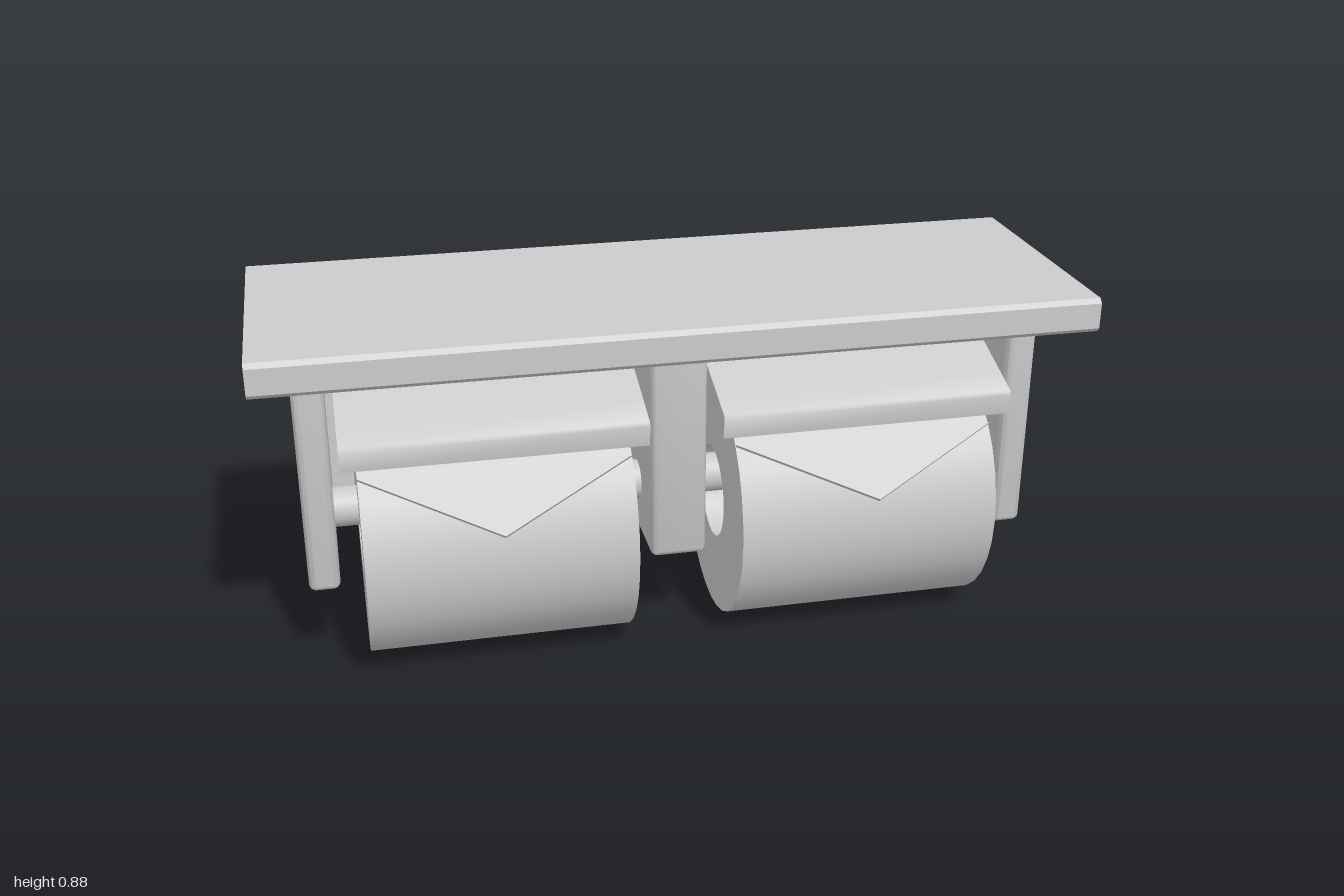
import * as THREE from 'three';
import { toCreasedNormals } from 'three/addons/utils/BufferGeometryUtils.js';
import { RoundedBoxGeometry } from 'three/addons/geometries/RoundedBoxGeometry.js';

const BACK = -0.365, SHELF_Y = 0.8;
const grey = new THREE.MeshStandardMaterial({ color: 0xcccccc, side: THREE.DoubleSide });

function part(name, geometry, x = 0, y = 0, z = 0) {
  const mesh = new THREE.Mesh(geometry, grey);
  mesh.name = name;
  mesh.position.set(x, y, z);
  return mesh;
}

// Removes the triangles lying in the wall plane, leaving the back open
function openBack(geometry) {
  const g = geometry.index ? geometry.toNonIndexed() : geometry;
  const p = g.attributes.position, kept = [];
  for (let i = 0; i < p.count; i += 3) {
    const corners = [i, i + 1, i + 2];
    if (corners.every((k) => p.getZ(k) < BACK + 1e-4)) continue;
    for (const k of corners) kept.push(p.getX(k), p.getY(k), p.getZ(k));
  }
  const out = new THREE.BufferGeometry();
  out.setAttribute('position', new THREE.Float32BufferAttribute(kept, 3));
  return toCreasedNormals(out, 0.6);
}

// Extrudes a [z, y] outline along x, centred on x = 0
function profileAlongX(points, width) {
  const shape = new THREE.Shape(points.map(([z, y]) => new THREE.Vector2(z, y)));
  return new THREE.ExtrudeGeometry(shape, { depth: width, bevelEnabled: false })
    .translate(0, 0, -width / 2)
    .rotateY(-Math.PI / 2);
}

// Upright bracket: rounded at the front and bottom, cut flat at the shelf and wall
function bracketGeometry(width) {
  const r = 0.018, extra = 3 * r, bottom = 0.23, front = 0.175;
  const h = SHELF_Y - bottom + extra, d = front - BACK + extra;
  const g = new RoundedBoxGeometry(width, h, d, 4, r);
  g.translate(0, bottom + h / 2, front - d / 2);
  const p = g.attributes.position;
  for (let i = 0; i < p.count; i++) {
    p.setY(i, Math.min(p.getY(i), SHELF_Y));
    p.setZ(i, Math.max(p.getZ(i), BACK));
  }
  return openBack(g);
}

// Paper roll: closed ring profile turned around the x axis
function rollGeometry() {
  const inner = 0.12, outer = 0.317, half = 0.325;
  const ring = [[inner, -half], [outer, -half], [outer, half], [inner, half], [inner, -half]]
    .map(([r, y]) => new THREE.Vector2(r, y));
  return toCreasedNormals(new THREE.LatheGeometry(ring, 32).rotateZ(Math.PI / 2), 0.6);
}

// Folded paper end: thin triangle leaning away from the roll
function flapGeometry() {
  const triangle = new THREE.Shape([
    new THREE.Vector2(-0.325, 0), new THREE.Vector2(0, -0.177), new THREE.Vector2(0.325, 0),
  ]);
  return new THREE.ExtrudeGeometry(triangle, { depth: 0.01, bevelEnabled: false })
    .translate(0, 0, -0.005)
    .rotateX(-0.865);
}

// Cover over the roll, sloping down to a lip at the front
function coverGeometry() {
  const top = [[0.255, 0.64], [0.175, 0.667], [0.1, 0.692], [0.02, 0.718], [-0.06, 0.737], [-0.14, 0.745], [-0.33, 0.745]];
  const under = [[-0.33, 0.685], [-0.14, 0.685], [-0.06, 0.682], [0.02, 0.668], [0.1, 0.643], [0.175, 0.607], [0.24, 0.572]];
  const lip = [[0.253, 0.578], [0.261, 0.63]];
  return toCreasedNormals(profileAlongX([...top, ...under, ...lip], 0.725), 0.9);
}

export function createModel() {
  const group = new THREE.Group();

  // Shelf with a chamfered front edge
  const shelfTop = 0.885, front = 0.318, c = 0.011;
  group.add(part('shelf', openBack(profileAlongX([
    [BACK, SHELF_Y], [front - c, SHELF_Y], [front, SHELF_Y + c],
    [front, shelfTop - c], [front - c, shelfTop], [BACK, shelfTop],
  ], 2))));

  // Brackets
  group.add(part('middleBracket', bracketGeometry(0.14)));
  for (const side of [-1, 1]) {
    group.add(part(side > 0 ? 'leftBracket' : 'rightBracket', bracketGeometry(0.075), side * 0.873));
  }

  // Two matching bays, each with a panel, rod, roll, paper flap and cover
  for (const side of [-1, 1]) {
    const bay = new THREE.Group();
    bay.name = side > 0 ? 'leftBay' : 'rightBay';
    bay.position.x = side * 0.4525;
    bay.add(
      part('backPanel', new THREE.BoxGeometry(0.775, 0.55, 0.015), 0, 0.525, -0.333),
      part('rod', new THREE.CylinderGeometry(0.05, 0.05, 0.775, 32).rotateZ(Math.PI / 2), 0, 0.37, 0),
      part('paperRoll', rollGeometry(), 0, 0.317, 0),
      part('paperFlap', flapGeometry(), 0, 0.545, 0.23),
      part('cover', coverGeometry()),
    );
    group.add(bay);
  }
  return group;
}
